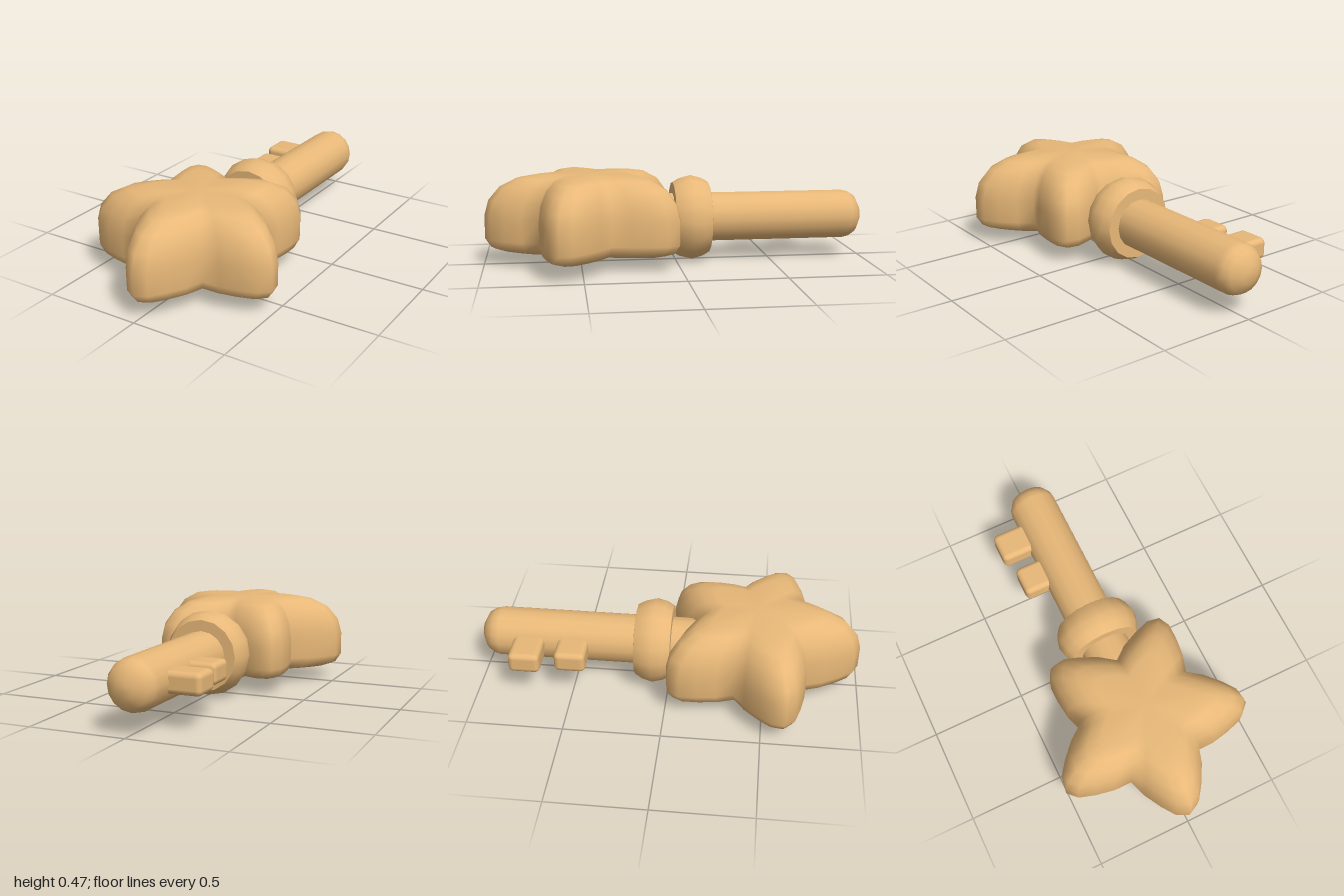
import * as THREE from 'three';
import { RoundedBoxGeometry } from 'three/addons/geometries/RoundedBoxGeometry.js';

const AXIS_Y = 0.227;
const material = new THREE.MeshStandardMaterial({ color: 0xe8b878 });

function add(group, name, geometry, x = 0, y = 0, z = 0) {
  const mesh = new THREE.Mesh(geometry, material);
  mesh.name = name;
  mesh.position.set(x, y, z);
  group.add(mesh);
  return mesh;
}

// Turned part lying along the z axis; profile is [radius, z] from back to front
function turned(profile) {
  const points = profile.map(([r, z]) => new THREE.Vector2(r, z));
  return new THREE.LatheGeometry(points, 16).rotateX(Math.PI / 2);
}

// Outline of a five-armed star with rounded tips, as [x, z]
function starOutline() {
  // One arm: [distance along the arm, sideways offset]
  const arm = [[0.26, -0.19], [0.35, -0.16], [0.44, -0.11], [0.51, -0.06], [0.54, 0],
    [0.51, 0.06], [0.44, 0.11], [0.35, 0.16]];
  const outline = [];
  for (let i = 0; i < 5; i++) {
    const a = (i * Math.PI * 2) / 5;
    for (const [t, w] of arm) {
      outline.push([t * Math.sin(a) + w * Math.cos(a), t * Math.cos(a) - w * Math.sin(a)]);
    }
  }
  return outline;
}

// Pillow-like star: the outline is scaled layer by layer, then capped
function starGeometry() {
  const layers = [[0.84, 0.077], [0.945, 0.095], [1, 0.14], [1, 0.26], [0.96, 0.34],
    [0.85, 0.41], [0.69, 0.453], [0.5, 0.47]]; // [scale, y]
  const outline = starOutline();
  const n = outline.length;
  const positions = [], indices = [];
  for (const [s, y] of layers) {
    for (const [x, z] of outline) positions.push(x * s, y, z * s);
  }
  for (let l = 0; l < layers.length - 1; l++) {
    for (let i = 0; i < n; i++) {
      const a = l * n + i, b = l * n + ((i + 1) % n);
      indices.push(a, b, b + n, a, b + n, a + n);
    }
  }
  const bottom = positions.length / 3, top = bottom + 1;
  positions.push(0, layers[0][1], 0, 0, layers[layers.length - 1][1], 0);
  const last = (layers.length - 1) * n;
  for (let i = 0; i < n; i++) {
    const j = (i + 1) % n;
    indices.push(bottom, j, i, top, last + i, last + j);
  }
  const geometry = new THREE.BufferGeometry();
  geometry.setAttribute('position', new THREE.Float32BufferAttribute(positions, 3));
  geometry.setIndex(indices);
  geometry.computeVertexNormals();
  return geometry;
}

export function createModel() {
  const key = new THREE.Group();
  key.name = 'starKey';

  // Star-shaped handle
  add(key, 'starHandle', starGeometry(), 0, 0, 0.452);

  // Round shaft with a domed end, running into the handle
  add(key, 'shaft', turned([[0, -1], [0.045, -0.998], [0.1, -0.97], [0.122, -0.935],
    [0.13, -0.9], [0.13, 0.3]]), 0, AXIS_Y, 0);

  // Bulging collar, with flat ends kept crisp by doubled points
  add(key, 'collar', turned([[0, -0.175], [0.187, -0.175], [0.188, -0.174], [0.21, -0.135],
    [0.224, -0.08], [0.21, -0.025], [0.188, 0.012], [0.187, 0.013], [0, 0.013]]), 0, AXIS_Y, 0);

  // Two teeth on one side: [outer x, centre z]
  for (const [outer, z] of [[-0.285, -0.733], [-0.255, -0.5]]) {
    const inner = -0.06;
    add(key, 'tooth', new RoundedBoxGeometry(inner - outer, 0.11, 0.163, 2, 0.028),
      (inner + outer) / 2, AXIS_Y, z);
  }
  return key;
}
